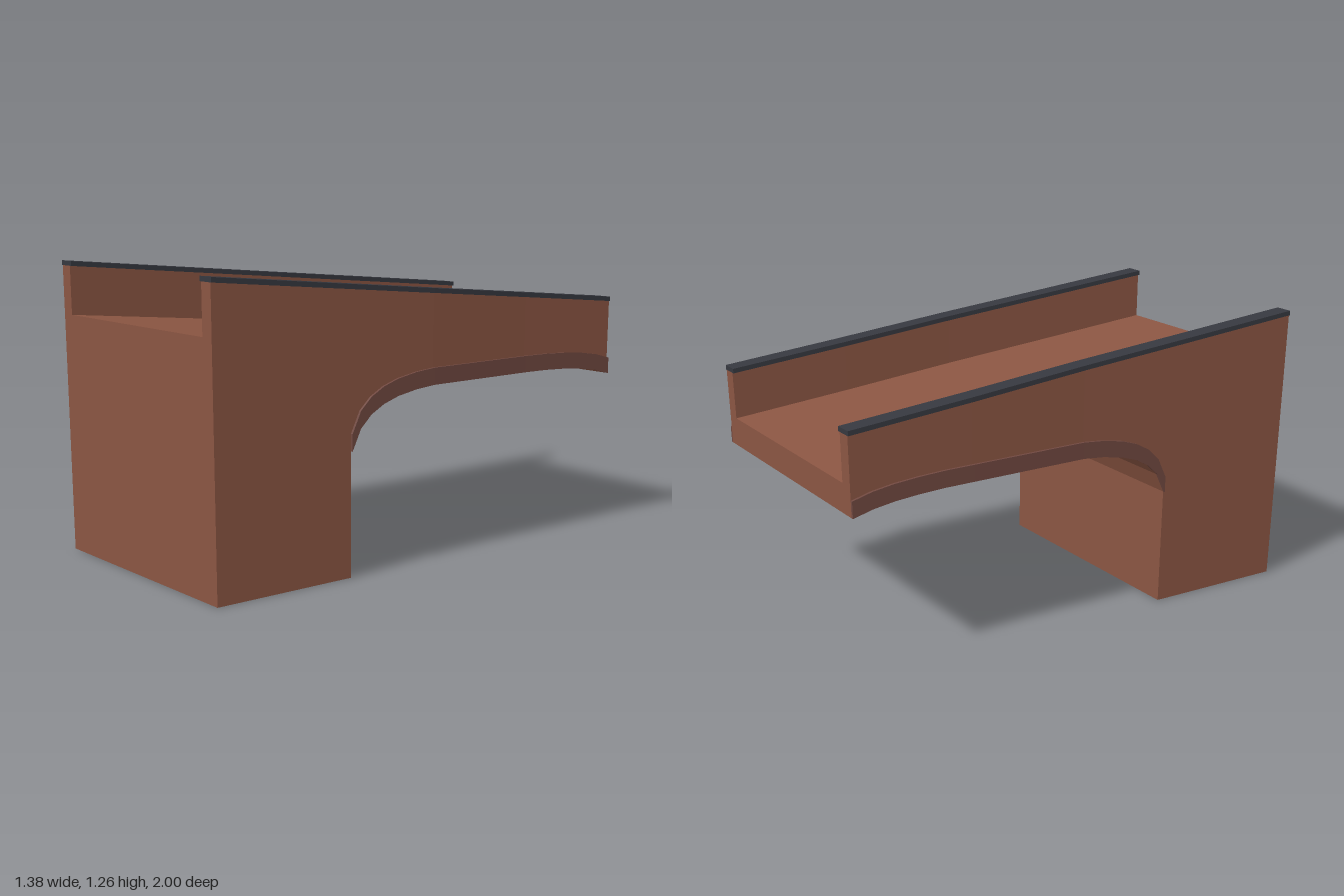
import * as THREE from 'three';

const brick = new THREE.MeshStandardMaterial({ color: 0x8a5542 });
brick.name = 'brick';
const archStone = new THREE.MeshStandardMaterial({ color: 0x704840 });
archStone.name = 'arch stone';
const coping = new THREE.MeshStandardMaterial({ color: 0x36383f });
coping.name = 'dark coping';

// Piecewise linear lookup in [z, value] pairs running from front to back
function lookup(points, z) {
  for (let i = 1; i < points.length; i++) {
    const [za, a] = points[i - 1], [zb, b] = points[i];
    if (z >= zb) return a + (b - a) * (za - z) / (za - zb);
  }
  return points[points.length - 1][1];
}

// Plan centre line, sloping deck and arch underside
const centre = [[1, -0.185], [0.5, -0.092], [0, 0.003], [-0.5, 0.084], [-1, 0.175]];
const centreX = (z) => lookup(centre, z);
const deckY = (z) => 1.035 - 0.1 * (1 - z);
const arch = [
  [0.4, 0.53], [0.36, 0.62], [0.31, 0.672], [0.25, 0.708], [0.18, 0.733], [0.09, 0.751],
  [0, 0.76], [-0.5, 0.761], [-0.62, 0.76], [-0.73, 0.755], [-0.83, 0.746], [-0.92, 0.731], [-1, 0.708],
];

// Box swept front to back along the centre line; stations are [z, bottom, top]
function sweep(name, material, stations, x0, x1) {
  const n = stations.length - 1;
  const box = new THREE.BoxGeometry(1, 1, 1, 1, 1, n);
  const p = box.attributes.position;
  for (let i = 0; i < p.count; i++) {
    const [z, bottom, top] = stations[Math.round((0.5 - p.getZ(i)) * n)];
    const x = centreX(z) + (p.getX(i) > 0 ? x1 : x0);
    p.setXYZ(i, x, p.getY(i) > 0 ? top : bottom, z);
  }
  const geometry = box.toNonIndexed();
  geometry.computeVertexNormals();
  const mesh = new THREE.Mesh(geometry, material);
  mesh.name = name;
  return mesh;
}

export function createModel() {
  const group = new THREE.Group();
  group.name = 'bridgeEnd';

  // Pier and arched deck in one sweep, with a repeated station at the pier's back face
  const body = [
    [1, 0, deckY(1)], [0.5, 0, deckY(0.5)], [0.4, 0, deckY(0.4)],
    ...arch.map(([z, y]) => [z, y, deckY(z)]),
  ];
  group.add(sweep('pierAndDeck', brick, body, -0.5, 0.5));

  const zs = centre.map(([z]) => z);
  const wall = zs.map((z) => [z, deckY(z), deckY(z) + 0.205]);
  const cap = zs.map((z) => [z, deckY(z) + 0.205, deckY(z) + 0.225]);
  const ring = arch.map(([z, y]) => [z, y, y + 0.072]);

  // Parapet, coping and raised arch band on both sides
  for (const [side, s] of [['left', 1], ['right', -1]]) {
    const add = (part, material, stations, inner, outer) => group.add(sweep(
      side + part, material, stations, Math.min(s * inner, s * outer), Math.max(s * inner, s * outer)));
    add('Parapet', brick, wall, 0.445, 0.5);
    add('Coping', coping, cap, 0.435, 0.505);
    add('ArchBand', archStone, ring, 0.5, 0.51);
  }
  return group;
}
